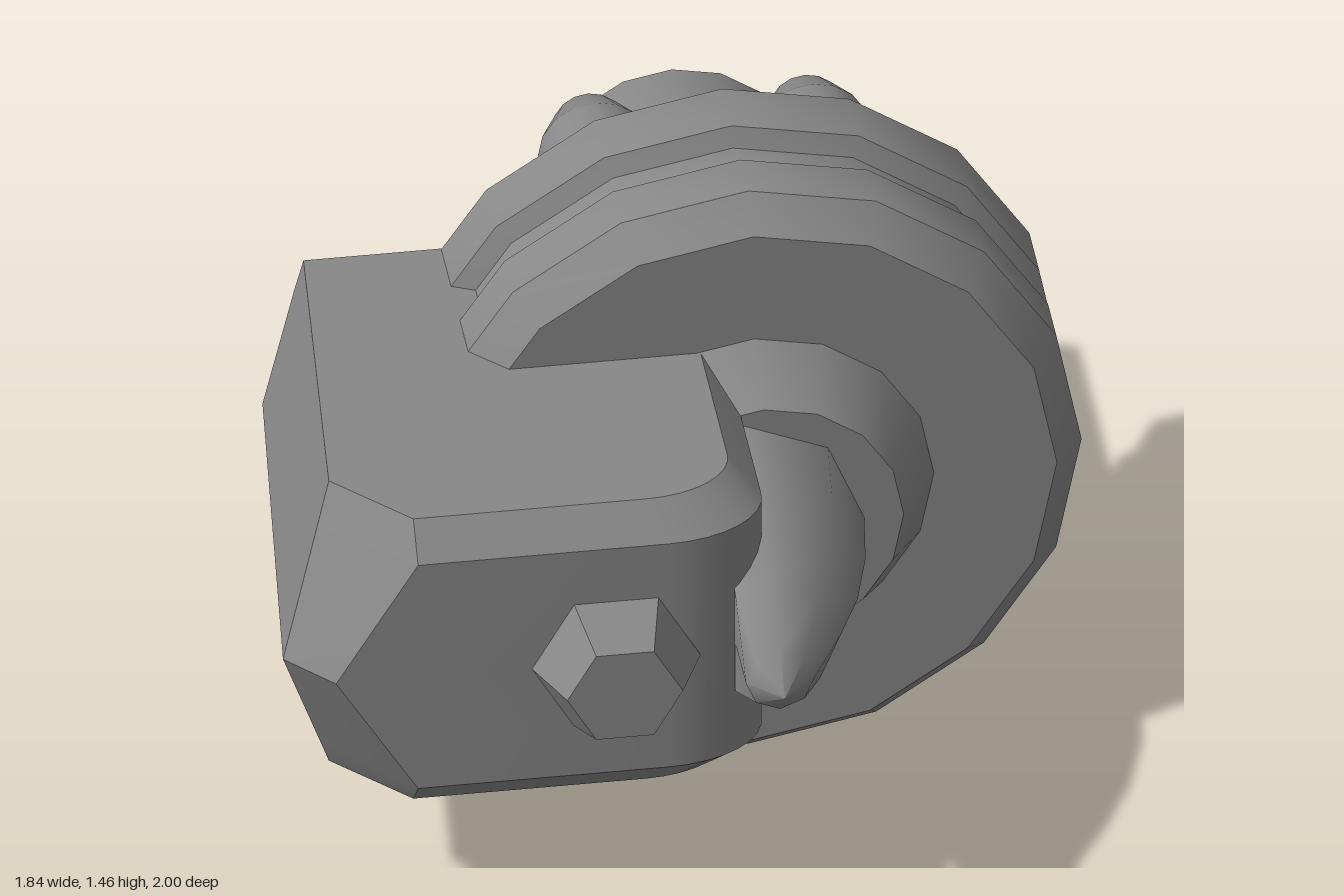
import * as THREE from 'three';
import { toCreasedNormals } from 'three/addons/utils/BufferGeometryUtils.js';

const CX = 0.187, CY = 0.735; // axis of the round parts
const material = new THREE.MeshStandardMaterial({ color: 0x888888 });
const openMaterial = new THREE.MeshStandardMaterial({ color: 0x888888, side: THREE.DoubleSide });

function part(name, geometry, crease = 0.41, mat = material) {
  const mesh = new THREE.Mesh(toCreasedNormals(geometry, crease), mat);
  mesh.name = name;
  return mesh;
}

// Turned part along z from [radius, z] pairs
function turned(profile, x, y, sides = 16) {
  const points = profile.map(([r, z]) => new THREE.Vector2(r, z));
  return new THREE.LatheGeometry(points, sides).rotateX(Math.PI / 2).translate(x, y, 0);
}

// Skin through equal-length cross-sections, closed at both ends
function loft(sections) {
  const out = [];
  const n = sections[0].length;
  const centre = (s) => [0, 1, 2].map((k) => s.reduce((sum, p) => sum + p[k], 0) / n);
  const first = sections[0], last = sections[sections.length - 1];
  const c0 = centre(first), c1 = centre(last);
  for (let j = 0; j < n; j++) {
    const k = (j + 1) % n;
    for (let i = 0; i < sections.length - 1; i++) {
      const s = sections[i], t = sections[i + 1];
      out.push(...s[j], ...s[k], ...t[k], ...s[j], ...t[k], ...t[j]);
    }
    out.push(...c0, ...first[k], ...first[j], ...c1, ...last[j], ...last[k]);
  }
  const geometry = new THREE.BufferGeometry();
  geometry.setAttribute('position', new THREE.Float32BufferAttribute(out, 3));
  return geometry;
}

// Horizontal outline of the block: pointed left side, rounded front right corner
function blockLayer(y, left, [x, z, rx, rz], back) {
  const points = left.map(([px, pz]) => [px, y, pz]);
  for (let i = 0; i <= 8; i++) {
    const a = (i / 8) * Math.PI / 2;
    points.push([x + rx * Math.sin(a), y, z + rz * Math.cos(a)]);
  }
  points.push([x + rx, y, back]);
  return points;
}

function blockGeometry() {
  const mid = [[-0.77, -0.32], [-0.82, -0.275], [-0.92, 0.69], [-0.82, 0.8]];
  const shoulder = [[-0.7, -0.32], [-0.75, -0.275], [-0.824, 0.586], [-0.64, 0.8]];
  const top = [[-0.67, -0.275], [-0.73, -0.275], [-0.8, 0.56], [-0.64, 0.73]];
  const innerCorner = [-0.13, 0.59, 0.2, 0.14];
  const outerCorner = [-0.09, 0.64, 0.227, 0.16];
  return loft([
    blockLayer(0.365, top, innerCorner, -0.275),
    blockLayer(0.44, shoulder, outerCorner, -0.32),
    blockLayer(CY, mid, outerCorner, -0.32),
    blockLayer(1.03, shoulder, outerCorner, -0.32),
    blockLayer(1.105, top, innerCorner, -0.275),
  ]);
}

// Eight-sided ogive with its left side cut flat
function spikeGeometry() {
  const profile = [[0.275, 0.3], [0.272, 0.35], [0.252, 0.5], [0.212, 0.65],
    [0.155, 0.78], [0.075, 0.93], [0, 1]];
  return loft(profile.map(([r, z]) => {
    const d = r * Math.SQRT1_2;
    const lx = Math.max(-0.075, -d), ly = r + lx * 0.414;
    const ring = [[0, r], [lx, ly], [Math.max(-0.075, -r), 0], [lx, -ly],
      [0, -r], [d, -d], [r, 0], [d, d]];
    return ring.map(([x, y]) => [0.135 + x, CY + y, z]);
  }));
}

export function createModel() {
  const group = new THREE.Group();

  // Grooved flange disc
  group.add(part('flangeDisc', turned([
    [0, -0.32], [0.68, -0.32], [0.731, -0.272], [0.731, -0.13], [0.688, -0.107],
    [0.688, -0.027], [0.731, 0], [0.731, 0.12], [0.665, 0.2], [0, 0.2],
  ], CX, CY)));

  // Tapered collar and pointed spike on the front
  group.add(part('collar', turned([[0.395, 0.19], [0.395, 0.2], [0.307, 0.345], [0, 0.345]], CX, CY)));
  group.add(part('spike', spikeGeometry(), 0.9));

  // Side block with its tapered hexagonal bolt
  group.add(part('sideBlock', blockGeometry()));
  const bolt = new THREE.CylinderGeometry(0.127, 0.185, 0.13, 6)
    .rotateY(Math.PI / 2).rotateX(Math.PI / 2).translate(-0.205, CY - 0.005, 0.865);
  group.add(part('hexBolt', bolt));

  // Open tube at the back
  const tube = turned([[0.28, -1], [0.28, -0.3]], CX, CY);
  group.add(part('rearTube', tube, 0.41, openMaterial));

  // Five locating pins around the tube
  for (let i = -2; i <= 2; i++) {
    const a = (i * Math.PI) / 3;
    const pin = turned([[0, -0.64], [0.077, -0.64], [0.125, -0.535], [0.125, -0.3]],
      CX + 0.476 * Math.cos(a), CY + 0.476 * Math.sin(a));
    group.add(part('locatingPin', pin));
  }
  return group;
}
